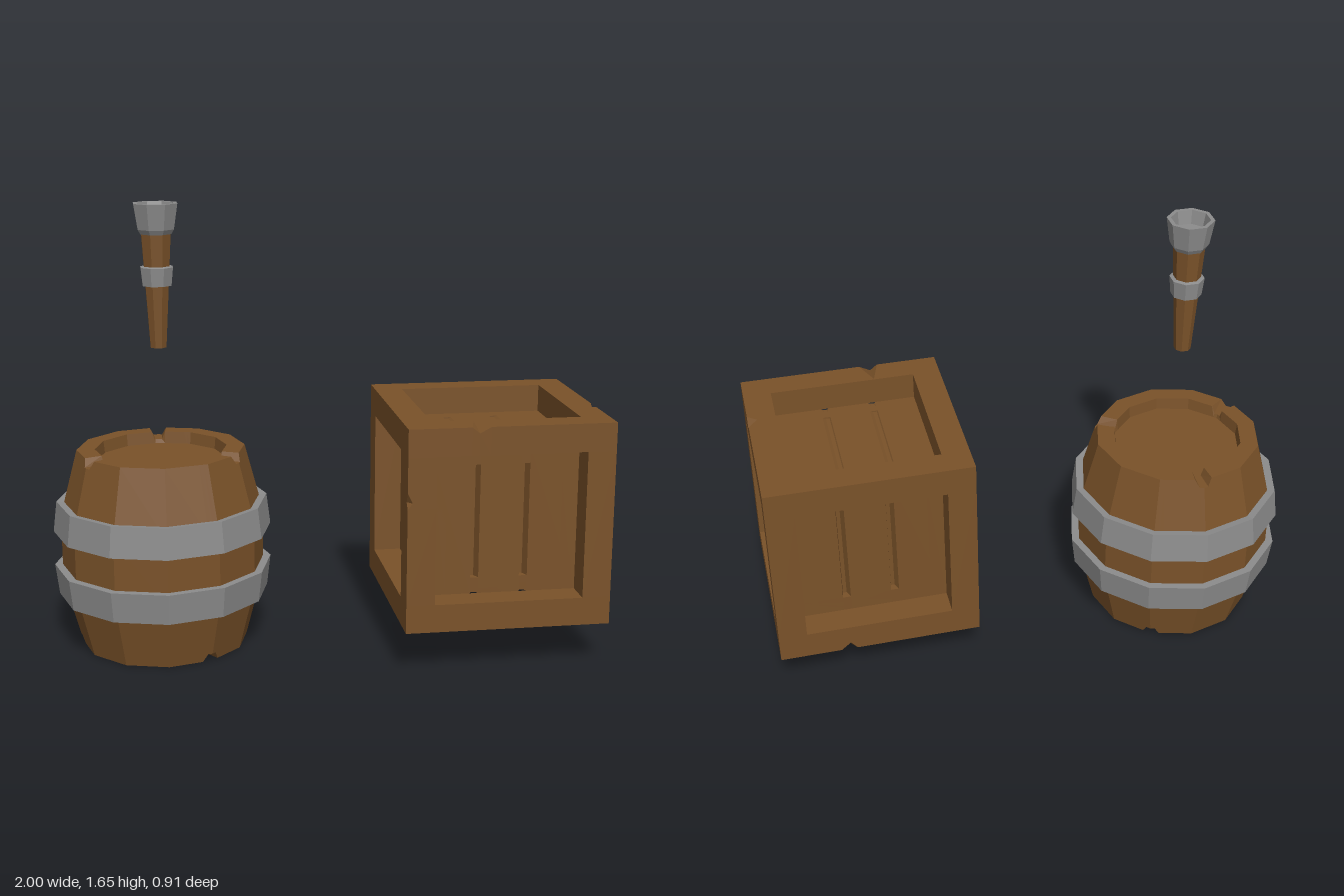
import * as THREE from 'three';

const wood = new THREE.MeshStandardMaterial({ color: 0x7a5229, flatShading: true });
const metal = new THREE.MeshStandardMaterial({ color: 0x8c8c8c, flatShading: true });
const RAD = Math.PI / 180;

function add(parent, name, geometry, material) {
  const mesh = new THREE.Mesh(geometry, material);
  mesh.name = name;
  parent.add(mesh);
  return mesh;
}

// Skin between consecutive sections, each a list of [x, y, z]
function loft(sections, closeSections, closeLoop) {
  const n = sections[0].length, m = sections.length, index = [];
  for (let i = 0; i < (closeSections ? m : m - 1); i++) {
    for (let j = 0; j < (closeLoop ? n : n - 1); j++) {
      const i2 = (i + 1) % m, j2 = (j + 1) % n;
      const a = i * n + j, b = i2 * n + j, c = i2 * n + j2, d = i * n + j2;
      index.push(a, b, d, c, d, b);
    }
  }
  const g = new THREE.BufferGeometry();
  g.setAttribute('position', new THREE.Float32BufferAttribute(sections.flat(2), 3));
  g.setIndex(index);
  g.computeVertexNormals();
  return g;
}

function lathe(profile, sides, turn = 0) {
  return new THREE.LatheGeometry(profile.map(([r, y]) => new THREE.Vector2(r, y)), sides, turn);
}

// Twelve-sided staves with recessed ends and three notches in each rim
function barrelBody() {
  const columns = [];
  for (let k = 0; k < 12; k++) {
    const a = k * 30;
    const top = [60, 180, 300].includes(a), bottom = [30, 150, 270].includes(a);
    if (!top && !bottom) { columns.push([a, 0, 0]); continue; }
    for (const off of [-6, -3, 0, 3, 6]) {
      const cut = Math.abs(off) < 6 ? 1 : 0;
      columns.push([a + off, top ? cut : 0, bottom ? cut : 0]);
    }
  }
  return loft(columns.map(([a, t, b]) => {
    const flat = Math.cos(15 * RAD) / Math.cos(((a + 360) % 30 - 15) * RAD);
    const profile = [
      [0, 0.045], [0.24, 0.045], [0.245, b * 0.03], [0.312 + b * 0.008, b * 0.03],
      [0.378, 0.25], [0.378, 0.5],
      [0.312 + t * 0.008, 0.75 - t * 0.03], [0.245, 0.75 - t * 0.03], [0.24, 0.705], [0, 0.705],
    ];
    return profile.map(([r, y]) => [r * flat * Math.sin(a * RAD), y, r * flat * Math.cos(a * RAD)]);
  }), true, false);
}

function makeBarrel() {
  const barrel = new THREE.Group();
  barrel.name = 'barrel';
  add(barrel, 'barrelBody', barrelBody(), wood);
  const hoop = [[0.35, 0.2], [0.393, 0.195], [0.407, 0.31], [0.37, 0.31]];
  add(barrel, 'lowerHoop', lathe(hoop, 12), metal);
  add(barrel, 'upperHoop', lathe(hoop.map(([r, y]) => [r, 0.75 - y]).reverse(), 12), metal);
  return barrel;
}

const H = 0.376, IN = 0.2725; // crate half size, half opening

// Beam along x whose outer edge is at +y +z; a nick is [position, half width, cut in y, cut in z]
function beam(half, nick) {
  const section = (x, cy, cz) => [
    [x, IN, H], [x, H - cy, H], [x, H, H - cz], [x, H, IN], [x, IN, IN],
  ];
  const cap = (x) => Array.from({ length: 5 }, () => [x, (IN + H) / 2, (IN + H) / 2]);
  const sections = [cap(-half), section(-half, 0, 0)];
  if (nick) {
    const [s, w, cy, cz] = nick;
    sections.push(section(s - w, 0, 0), section(s - w * 0.2, cy, cz), section(s + w, 0, 0));
  }
  sections.push(section(half, 0, 0), cap(half));
  return loft(sections, false, true);
}

// Three upright boards facing +z, parted by two slanted grooves
function panel(depth) {
  const shape = new THREE.Shape();
  shape.moveTo(-IN, -0.06);
  shape.lineTo(-IN, 0);
  for (const u of [-0.12, 0.062]) {
    shape.lineTo(u, 0);
    shape.lineTo(u + 0.004, -depth);
    shape.lineTo(u + 0.018, -depth);
    shape.lineTo(u + 0.03, 0);
  }
  shape.lineTo(IN, 0);
  shape.lineTo(IN, -0.06);
  const g = new THREE.ExtrudeGeometry(shape, { depth: 2 * IN, bevelEnabled: false });
  return g.translate(0, 0, -IN).rotateX(Math.PI / 2).translate(0, 0, IN);
}

function makeCrate() {
  const crate = new THREE.Group();
  crate.name = 'crate';
  // worn nicks, by beam direction and quarter turn
  const nicks = {
    x0: [-0.115, 0.035, 0.022, 0.1],
    x2: [0.12, 0.03, 0.03, 0.03],
    y0: [0.115, 0.03, 0.018, 0.02],
    z0: [-0.1, 0.035, 0.035, 0.035],
  };
  for (let k = 0; k < 4; k++) {
    const turn = k * Math.PI / 2;
    add(crate, 'crossBeam', beam(H, nicks['x' + k]).rotateX(turn), wood);
    add(crate, 'cornerPost', beam(IN, nicks['y' + k]).rotateZ(Math.PI / 2).rotateY(turn), wood);
    add(crate, 'sideBeam', beam(IN, nicks['z' + k]).rotateY(Math.PI / 2).rotateZ(turn), wood);
    add(crate, 'sidePanel', panel(0.028).rotateY(turn), wood);
  }
  add(crate, 'topPanel', panel(0.005).rotateX(-Math.PI / 2), wood);
  add(crate, 'bottomPanel', panel(0.005).rotateX(Math.PI / 2), wood);
  return crate;
}

// Tapered eight-sided handle with a middle band and a hollow end collar
function makeHandle() {
  const handle = new THREE.Group();
  handle.name = 'handle';
  const turn = Math.PI / 8;
  add(handle, 'grip', lathe([[0, 0], [0.031, 0], [0.058, 0.43], [0, 0.43]], 8, turn), wood);
  add(handle, 'band', lathe([[0.04, 0.228], [0.056, 0.228], [0.063, 0.295], [0.045, 0.3]], 8, turn), metal);
  add(handle, 'collar', lathe([
    [0.05, 0.415], [0.06, 0.415], [0.07, 0.432], [0.085, 0.525],
    [0.07, 0.525], [0.06, 0.475], [0, 0.475],
  ], 8, turn), metal);
  return handle;
}

export function createModel() {
  const model = new THREE.Group();
  model.name = 'barrelCrateAndHandle';
  const barrel = makeBarrel(), crate = makeCrate(), handle = makeHandle();
  barrel.position.set(-0.593, 0, -0.052);
  crate.position.set(0.619, 0.535, 0.08);
  handle.position.set(-0.593, 1.13, -0.047);
  model.add(barrel, crate, handle);
  return model;
}
